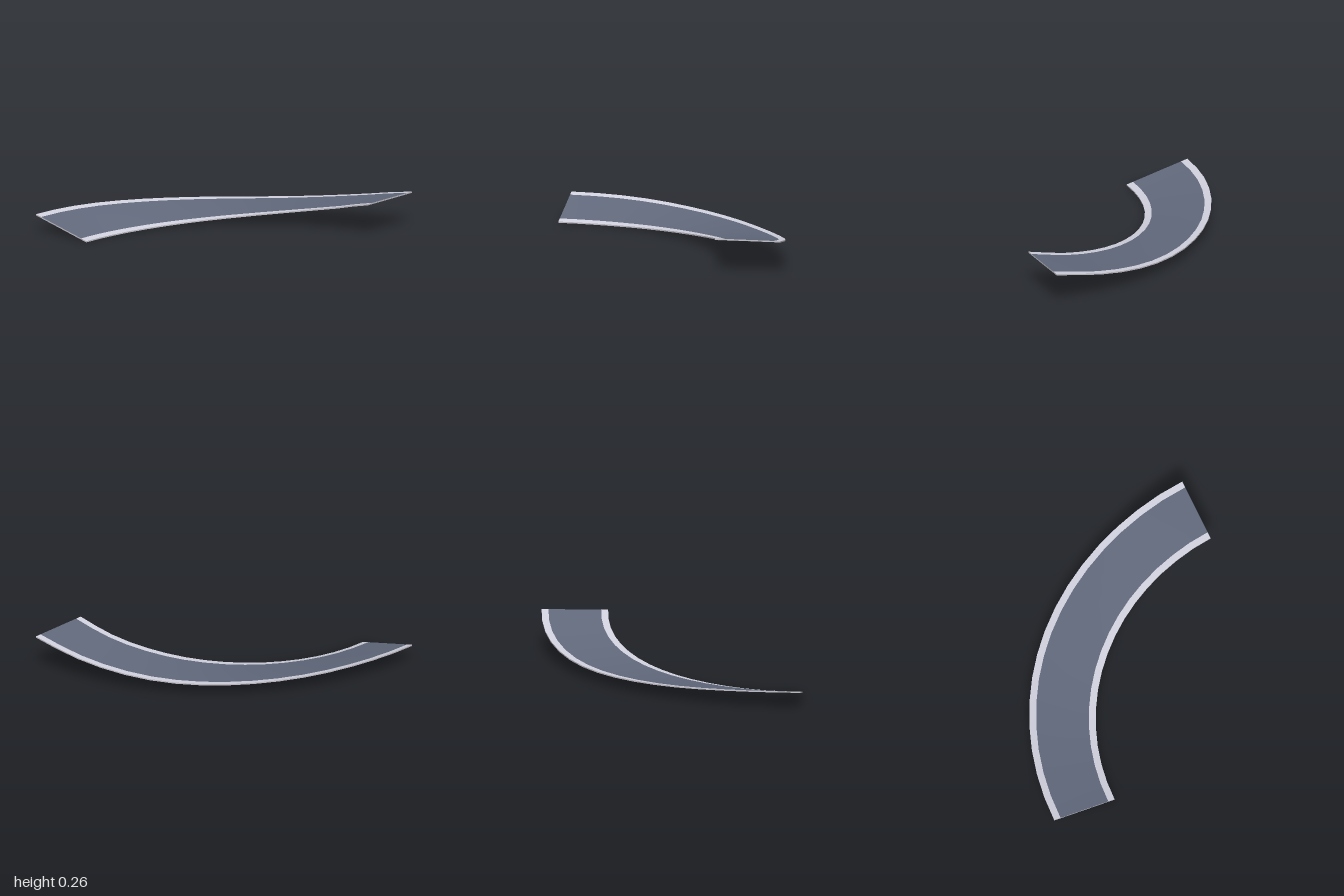
import * as THREE from 'three';

const SEGMENTS = 16, THICK = 0.01;
const INNER = 1.5, OUTER = 2, KERB = 0.052;

// Edge heights at even steps along the quarter turn: banked at the start, level at the raised end
const profile = (ys) => new THREE.SplineCurve(ys.map((y, i) => new THREE.Vector2(i, y)));
const innerEdge = profile([0.01, 0.0115, 0.017, 0.027, 0.041, 0.06, 0.085, 0.117, 0.156, 0.203, 0.26]);
const outerEdge = profile([0.135, 0.133, 0.125, 0.113, 0.103, 0.097, 0.099, 0.116, 0.151, 0.201, 0.26]);

// Point on the deck at radius r and fraction f of the turn, lowered by drop
function deckPoint(r, f, drop = 0) {
  const t = f * Math.PI / 2;
  const y = THREE.MathUtils.lerp(innerEdge.getPoint(f).y, outerEdge.getPoint(f).y, (r - INNER) / (OUTER - INNER));
  return [1 - r * Math.cos(t), y - drop, 1 - r * Math.sin(t)];
}

// Ribbon along the turn between two rails, each given as [radius, drop]
function ribbon(railA, railB) {
  const pos = [], index = [];
  for (let i = 0; i <= SEGMENTS; i++) {
    const f = i / SEGMENTS;
    pos.push(...deckPoint(railA[0], f, railA[1]), ...deckPoint(railB[0], f, railB[1]));
    if (i < SEGMENTS) {
      const k = i * 2;
      index.push(k, k + 2, k + 1, k + 1, k + 2, k + 3);
    }
  }
  return build(pos, index);
}

// Flat cap closing one end of the slab
function endCap(f) {
  const pos = [[INNER, 0], [OUTER, 0], [OUTER, THICK], [INNER, THICK]].flatMap(([r, d]) => deckPoint(r, f, d));
  return build(pos, f === 0 ? [0, 1, 2, 0, 2, 3] : [0, 2, 1, 0, 3, 2]);
}

function build(pos, index) {
  const g = new THREE.BufferGeometry();
  g.setAttribute('position', new THREE.Float32BufferAttribute(pos, 3));
  g.setIndex(index);
  g.computeVertexNormals();
  return g;
}

export function createModel() {
  const asphalt = new THREE.MeshStandardMaterial({ name: 'asphalt', color: 0x626a7d });
  const kerb = new THREE.MeshStandardMaterial({ name: 'pale kerb', color: 0xd3d3e0 });
  const base = new THREE.MeshStandardMaterial({ name: 'light grey base', color: 0xc8c5ce });

  const group = new THREE.Group();
  group.name = 'bankedRoadCurve';
  const add = (name, geometry, material) => {
    const mesh = new THREE.Mesh(geometry, material);
    mesh.name = name;
    group.add(mesh);
  };

  // Driving surface with a pale strip along each edge
  add('roadSurface', ribbon([INNER + KERB, 0], [OUTER - KERB, 0]), asphalt);
  add('innerKerb', ribbon([INNER, 0], [INNER + KERB, 0]), kerb);
  add('outerKerb', ribbon([OUTER - KERB, 0], [OUTER, 0]), kerb);

  // Underside, side walls and ends of the slab
  add('underside', ribbon([OUTER, THICK], [INNER, THICK]), base);
  add('innerWall', ribbon([INNER, THICK], [INNER, 0]), base);
  add('outerWall', ribbon([OUTER, 0], [OUTER, THICK]), base);
  add('startCap', endCap(0), base);
  add('endCap', endCap(1), base);
  return group;
}
